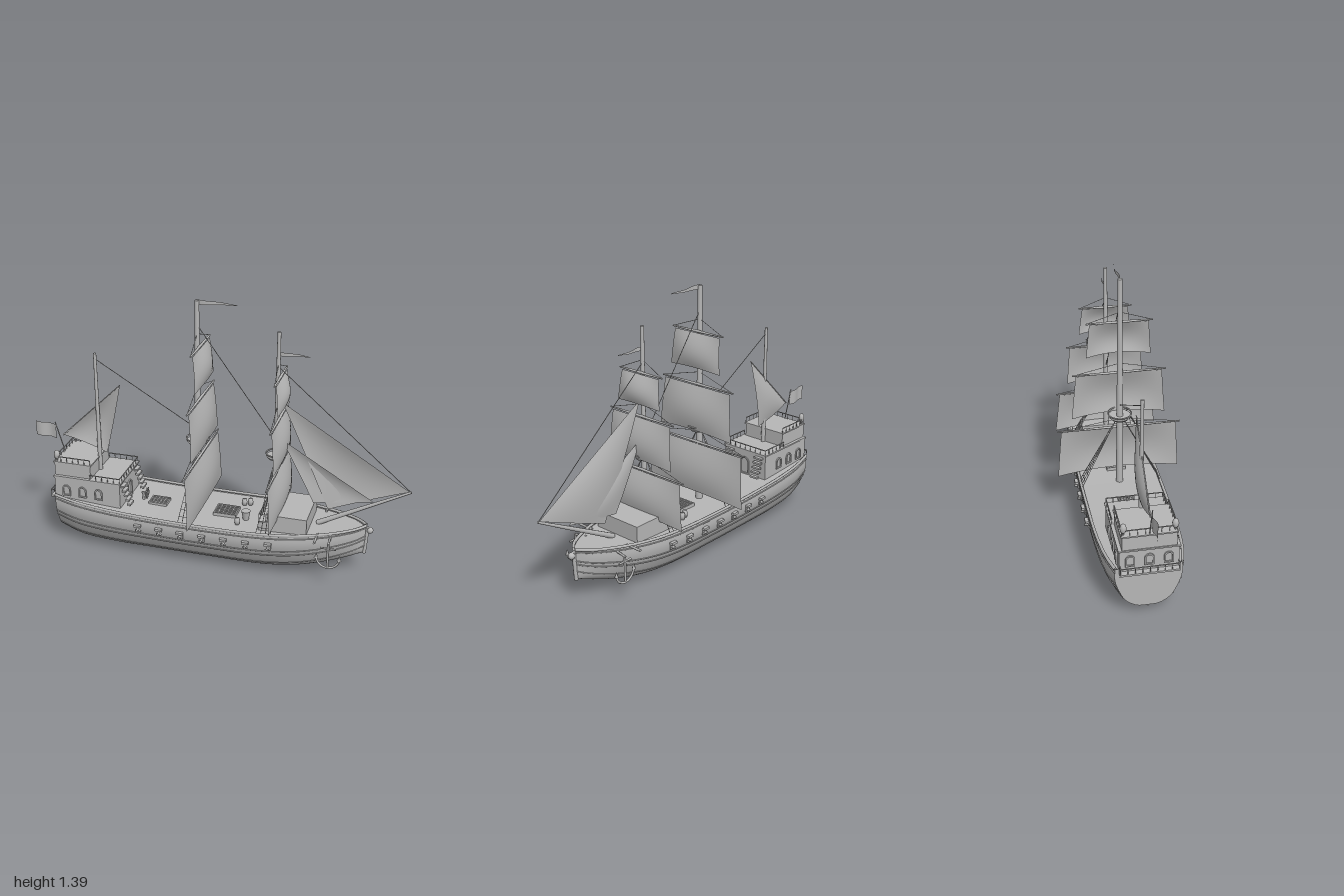
import * as THREE from 'three';

const grey = new THREE.MeshStandardMaterial({ color: 0xb6b6b6, side: THREE.DoubleSide });
grey.name = 'grey';
const V = (x, y, z) => new THREE.Vector3(x, y, z);

// Hull lines: x, half width and keel height from stern to bow; section as (width, height) fractions
const lines = new THREE.CatmullRomCurve3([
  [-0.84, 0.16, 0.05], [-0.72, 0.187, 0.015], [-0.55, 0.203, 0.004], [-0.3, 0.208, 0.004], [0, 0.208, 0.004],
  [0.25, 0.203, 0.004], [0.42, 0.185, 0.018], [0.56, 0.148, 0.048], [0.68, 0.095, 0.085], [0.75, 0.05, 0.112], [0.79, 0.006, 0.13],
].map(p => V(...p)));
const section = new THREE.SplineCurve([[0, 0], [0.3, 0.01], [0.55, 0.1], [0.72, 0.22], [0.86, 0.42], [0.96, 0.62], [1, 0.8], [0.98, 1]]
  .map(p => new THREE.Vector2(...p)));
const sheer = x => 0.25 + 0.032 * (x / 0.8) ** 2;

function hullPoint(t, s, side, out = 0) {
  const p = lines.getPoint(t), q = section.getPoint(s);
  return V(p.x, p.z + (sheer(p.x) - p.z) * q.y, side * (p.y * q.x + out));
}
function tAt(x) {
  let a = 0, b = 1;
  for (let i = 0; i < 24; i++) { const m = (a + b) / 2; if (lines.getPoint(m).x < x) a = m; else b = m; }
  return a;
}

// Smooth surface from a rule of u and v
function surface(nu, nv, rule) {
  const pos = [], idx = [];
  for (let i = 0; i <= nu; i++) for (let j = 0; j <= nv; j++) pos.push(...rule(i / nu, j / nv).toArray());
  for (let i = 0; i < nu; i++) for (let j = 0; j < nv; j++) {
    const a = i * (nv + 1) + j, b = a + nv + 1;
    idx.push(a, b, a + 1, b, b + 1, a + 1);
  }
  const g = new THREE.BufferGeometry();
  g.setAttribute('position', new THREE.Float32BufferAttribute(pos, 3));
  g.setIndex(idx);
  g.computeVertexNormals();
  return g;
}

export function createModel() {
  const model = new THREE.Group();
  model.name = 'sailingShip';
  const add = (name, geo, x = 0, y = 0, z = 0, parent = model) => {
    const m = new THREE.Mesh(geo, grey);
    m.name = name;
    m.position.set(x, y, z);
    parent.add(m);
    return m;
  };
  const box = (name, x0, x1, y0, y1, hz) =>
    add(name, new THREE.BoxGeometry(x1 - x0, y1 - y0, hz * 2), (x0 + x1) / 2, (y0 + y1) / 2, 0);
  const rod = (name, a, b, r, r2 = r, n = 5) => {
    const d = b.clone().sub(a), mid = a.clone().add(b).multiplyScalar(0.5);
    const m = add(name, new THREE.CylinderGeometry(r2, r, d.length(), n), mid.x, mid.y, mid.z);
    m.quaternion.setFromUnitVectors(V(0, 1, 0), d.normalize());
    return m;
  };
  const tube = (name, pts, r, n = 48) => add(name, new THREE.TubeGeometry(new THREE.CatmullRomCurve3(pts), n, r, 6));

  // Hull, deck and transom
  add('hull', surface(64, 48, (u, v) => hullPoint(u, Math.abs(2 * v - 1), v < 0.5 ? -1 : 1)));
  add('deck', surface(64, 2, (u, v) => {
    const p = hullPoint(u, 1, 1);
    return V(p.x, p.y - 0.012, p.z * (1 - 2 * v));
  }));
  add('transom', surface(1, 24, (u, v) => hullPoint(0, v, u ? 1 : -1)));
  tube('keel', Array.from({ length: 21 }, (_, i) => hullPoint(i / 20, 0, 1).setZ(0)), 0.005);
  rod('stem', V(0.787, 0.12, 0), V(0.797, 0.27, 0), 0.01, 0.01, 8);
  add('figurehead', new THREE.SphereGeometry(0.017, 14, 10), 0.81, 0.255, 0);

  for (const s of [-1, 1]) {
    // Rails and wales running along the side
    for (const [f, r] of [[1, 0.008], [0.93, 0.004], [0.7, 0.004], [0.62, 0.004], [0.45, 0.003]])
      tube(f === 1 ? 'rail' : 'wale', Array.from({ length: 25 }, (_, i) => hullPoint(i / 24, f, s)), r);
    // Gun ports with lids and barrels
    for (let i = 0; i < 7; i++) {
      const p = hullPoint(tAt(-0.36 + i * 0.115), 0.87, s);
      add('gunPortLid', new THREE.BoxGeometry(0.036, 0.012, 0.022), p.x, p.y - 0.004, p.z + s * 0.006);
      add('gunPort', new THREE.BoxGeometry(0.03, 0.03, 0.006), p.x, p.y - 0.024, p.z);
      rod('gun', V(p.x, p.y - 0.027, p.z - s * 0.02), V(p.x, p.y - 0.027, p.z + s * 0.018), 0.009, 0.007, 10);
    }
    // Anchor hanging from its cathead
    rod('cathead', V(0.565, 0.26, s * 0.12), V(0.565, 0.26, s * 0.21), 0.007);
    rod('cathead', V(0.63, 0.255, s * 0.09), V(0.63, 0.24, s * 0.175), 0.006);
    rod('anchorShank', V(0.63, 0.105, s * 0.17), V(0.63, 0.235, s * 0.17), 0.006, 0.006, 8);
    rod('anchorStock', V(0.59, 0.215, s * 0.17), V(0.67, 0.215, s * 0.17), 0.005);
    const arms = add('anchorArms', new THREE.TorusGeometry(0.058, 0.006, 6, 20, Math.PI), 0.63, 0.163, s * 0.17);
    arms.rotation.z = Math.PI;
    for (const e of [-1, 1]) add('anchorFluke', new THREE.ConeGeometry(0.012, 0.03, 4), 0.63 + e * 0.058, 0.168, s * 0.17);
  }

  // Arched frames for windows and the door
  const arch = (name, w, h, x, y, z, ry) => {
    const outline = (S, k) => {
      S.moveTo(-w / 2 + k, k);
      S.lineTo(w / 2 - k, k);
      S.lineTo(w / 2 - k, h - w / 2);
      S.absarc(0, h - w / 2, w / 2 - k, 0, Math.PI, false);
      S.closePath();
      return S;
    };
    const shape = outline(new THREE.Shape(), 0);
    shape.holes.push(outline(new THREE.Path(), 0.007));
    const m = add(name, new THREE.ExtrudeGeometry(shape, { depth: 0.008, bevelEnabled: false, curveSegments: 8 }), x, y, z);
    m.rotation.y = ry;
  };
  // Posts and top bars along a path on the floor
  const railing = (pts, h) => {
    for (let k = 0; k + 1 < pts.length; k++) {
      const a = V(...pts[k]), b = V(...pts[k + 1]), n = Math.max(1, Math.round(a.distanceTo(b) / 0.035));
      rod('railingBar', a.clone().setY(a.y + h), b.clone().setY(b.y + h), 0.003);
      for (let i = 0; i <= n; i++) {
        const p = a.clone().lerp(b, i / n);
        rod('railingPost', p, p.clone().setY(p.y + h), 0.002);
      }
    }
  };

  // Stern castle in two steps
  box('sternCabin', -0.845, -0.48, 0.24, 0.385, 0.14);
  box('sternCabinRoof', -0.85, -0.475, 0.385, 0.393, 0.145);
  box('upperCabin', -0.845, -0.645, 0.39, 0.465, 0.128);
  box('upperCabinRoof', -0.85, -0.64, 0.465, 0.472, 0.133);
  box('sternGallery', -0.872, -0.84, 0.262, 0.272, 0.14);
  railing([[-0.845, 0.27, -0.138], [-0.87, 0.27, -0.138], [-0.87, 0.27, 0.138], [-0.845, 0.27, 0.138]], 0.035);
  railing([[-0.645, 0.39, -0.138], [-0.48, 0.39, -0.138], [-0.48, 0.39, 0.138], [-0.645, 0.39, 0.138]], 0.03);
  railing([[-0.645, 0.47, -0.128], [-0.84, 0.47, -0.128], [-0.84, 0.47, 0.128], [-0.645, 0.47, 0.128]], 0.03);
  for (const x of [-0.78, -0.69, -0.6]) {
    arch('sideWindow', 0.045, 0.062, x, 0.283, 0.139, 0);
    arch('sideWindow', 0.045, 0.062, x, 0.283, -0.139, Math.PI);
  }
  for (const z of [-0.09, 0, 0.09]) arch('sternWindow', 0.045, 0.062, -0.844, 0.3, z, -Math.PI / 2);
  arch('cabinDoor', 0.06, 0.1, -0.481, 0.25, 0, Math.PI / 2);
  for (const s of [-1, 1]) {
    for (let i = 0; i < 5; i++)
      add('stairStep', new THREE.BoxGeometry(0.02, 0.01, 0.05), -0.47 + i * 0.008, 0.37 - i * 0.025, s * 0.1);
    rod('lanternPost', V(-0.832, 0.465, s * 0.12), V(-0.832, 0.5, s * 0.12), 0.004);
    add('lantern', new THREE.SphereGeometry(0.016, 10, 8), -0.832, 0.508, s * 0.12).scale.y = 1.6;
  }
  rod('flagPole', V(-0.84, 0.47, 0), V(-0.888, 0.635, 0), 0.003);
  add('flag', surface(10, 4, (u, v) => V(-1 + 0.117 * u, 0.55 + 0.08 * v - 0.008 * u, 0.006 * Math.sin(u * 7))));

  // Forecastle
  box('forecastle', 0.3, 0.51, 0.24, 0.335, 0.135);
  box('forecastleStep', 0.262, 0.3, 0.24, 0.29, 0.135);
  railing([[0.5, 0.335, -0.132], [0.265, 0.29, -0.132], [0.265, 0.29, 0.132], [0.5, 0.335, 0.132]].slice(1, 3), 0.04);

  // Deck fittings
  for (const [x, w, d] of [[-0.31, 0.1, 0.08], [0.06, 0.12, 0.1]]) {
    box('hatch', x - w / 2, x + w / 2, 0.235, 0.25, d / 2);
    for (let i = 0; i < 6; i++) {
      box('hatchGrate', x - w / 2 + (w - 0.006) * i / 5, x - w / 2 + (w - 0.006) * i / 5 + 0.006, 0.25, 0.256, d / 2);
      add('hatchGrate', new THREE.BoxGeometry(w, 0.006, 0.006), x, 0.253, (i / 5 - 0.5) * (d - 0.006));
    }
  }
  for (const [x, z] of [[0.13, -0.1], [0.16, -0.11], [0.145, 0.105]])
    add('barrel', new THREE.LatheGeometry([[0, 0], [0.011, 0], [0.015, 0.018], [0.011, 0.036], [0, 0.036]].map(p => new THREE.Vector2(...p)), 12), x, 0.24, z);
  add('capstan', new THREE.CylinderGeometry(0.024, 0.015, 0.05, 12), 0.175, 0.265, 0.045);
  add('wheel', new THREE.TorusGeometry(0.024, 0.003, 6, 20), -0.38, 0.285, 0).rotation.y = Math.PI / 2;
  rod('wheelAxle', V(-0.41, 0.285, 0), V(-0.37, 0.285, 0), 0.006);
  rod('wheelStand', V(-0.4, 0.235, 0), V(-0.4, 0.29, 0), 0.008);
  for (let i = 0; i < 4; i++) {
    const a = i * Math.PI / 4, d = V(0, Math.cos(a), Math.sin(a)).multiplyScalar(0.032), c = V(-0.38, 0.285, 0);
    rod('wheelSpoke', c.clone().sub(d), c.clone().add(d), 0.002);
  }

  // Main and fore masts: yards as height, foot height, half widths at head and foot
  const masts = [
    { x: -0.095, top: 1.38, r: 0.019, nest: 0.63, nr: 0.058, yards: [[0.56, 0.285, 0.295, 0.315], [0.875, 0.625, 0.215, 0.237], [1.15, 0.965, 0.145, 0.16]] },
    { x: 0.315, top: 1.26, r: 0.015, nest: 0.6, nr: 0.05, yards: [[0.537, 0.305, 0.25, 0.275], [0.815, 0.595, 0.19, 0.205], [1.035, 0.885, 0.12, 0.137]] },
  ];
  for (const m of masts) {
    rod('mast', V(m.x, 0.23, 0), V(m.x, m.top, 0), m.r, m.r * 0.6, 14);
    add('crowsNestFloor', new THREE.CylinderGeometry(m.nr, m.nr * 0.8, 0.014, 20), m.x, m.nest, 0);
    add('crowsNestRing', new THREE.TorusGeometry(m.nr, 0.004, 6, 24), m.x, m.nest + 0.02, 0).rotation.x = Math.PI / 2;
    for (const [y, foot, w0, w1] of m.yards) {
      const yx = m.x + m.r * 0.9, half = w0 + 0.018;
      for (const s of [-1, 1]) {
        rod('yard', V(yx, y, 0), V(yx, y, s * half), 0.007, 0.004, 8);
        rod('yardLift', V(yx, y, s * half), V(m.x, y + 0.06, 0), 0.0015, 0.0015, 4);
      }
      add('squareSail', surface(14, 12, (u, v) => {
        const k = 2 * u - 1, drop = v - 0.07 * v * (1 - k * k);
        return V(yx + 0.004 + 0.012 * v + 0.032 * Math.sin(v * 2.6) * (1 - 0.85 * k * k), y - 0.008 + (foot - y) * drop, -k * (w0 + (w1 - w0) * v));
      }));
    }
    // Shrouds and ratlines
    for (const s of [-1, 1]) {
      const head = V(m.x, m.nest - 0.02, s * 0.02);
      const feet = [-0.05, -0.025, 0, 0.025].map(d => hullPoint(tAt(m.x + d), 1, s));
      for (const f of feet) rod('shroud', head, f, 0.002, 0.002, 4);
      for (let i = 1; i < 10; i++) rod('ratline', feet[0].clone().lerp(head, i / 11), feet[3].clone().lerp(head, i / 11), 0.0015, 0.0015, 4);
    }
  }
  // Pennants
  const pennant = (x, y, len, h) => add('pennant', surface(10, 2, (u, v) => V(x + len * u, y + (v - 0.5) * h * (1 - 0.85 * u), 0.005 * Math.sin(u * 8))));
  pennant(-0.095, 1.372, 0.205, 0.026);
  pennant(0.315, 1.15, 0.155, 0.022);

  // Mizzen mast, bowsprit and stays
  rod('mizzenMast', V(-0.64, 0.39, 0), V(-0.64, 1.05, 0), 0.012, 0.008, 12);
  rod('lateenYard', V(-0.845, 0.565, 0), V(-0.51, 0.89, 0), 0.004, 0.003, 6);
  rod('bowsprit', V(0.54, 0.255, 0), V(0.998, 0.5, 0), 0.014, 0.006, 10);
  for (const [a, b] of [[V(-0.64, 1.02, 0), V(-0.1, 0.7, 0)], [V(-0.09, 1.25, 0), V(0.31, 0.7, 0)], [V(0.32, 1.08, 0), V(0.995, 0.5, 0)]])
    rod('stay', a, b, 0.002);

  // Triangular sails bellying to one side
  const triSail = (name, A, B, C, belly) => add(name, surface(14, 14, (u, v) => {
    const a = (1 - u) * (1 - v), b = u * (1 - v), c = v;
    const p = V(0, 0, 0).addScaledVector(A, a).addScaledVector(B, b).addScaledVector(C, c);
    p.z -= belly * (27 * a * b * c + 2 * a * c + 2 * b * c) / 1.3;
    return p;
  }));
  triSail('lateenSail', V(-0.51, 0.89, 0), V(-0.842, 0.567, 0), V(-0.597, 0.495, 0), 0.025);
  triSail('outerJib', V(0.34, 0.9, 0), V(0.99, 0.5, 0), V(0.59, 0.34, 0), 0.02);
  triSail('innerJib', V(0.34, 0.7, 0), V(0.82, 0.415, 0), V(0.515, 0.365, 0), 0.015);
  return model;
}
